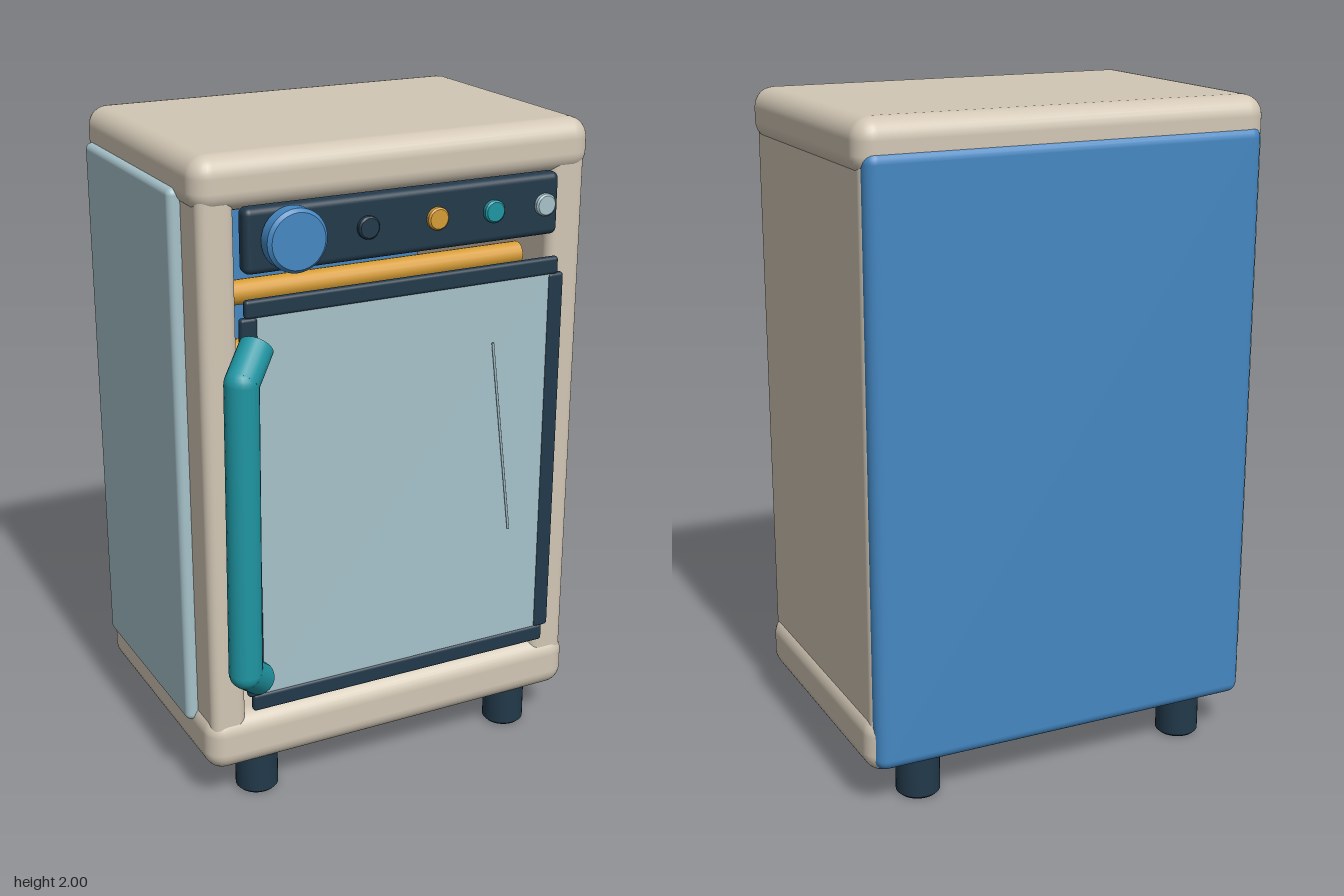
import * as THREE from 'three';
import { RoundedBoxGeometry } from 'three/addons/geometries/RoundedBoxGeometry.js';
import { toCreasedNormals } from 'three/addons/utils/BufferGeometryUtils.js';

const material = (name, color) => {
  const m = new THREE.MeshStandardMaterial({ color });
  m.name = name;
  return m;
};

export function createModel() {
  const cream = material('cream', 0xd2c7b5);
  const blue = material('blue', 0x4487c2);
  const navy = material('navy', 0x22394a);
  const glass = material('pale glass', 0xa6c2ca);
  const teal = material('teal', 0x1f96a3);
  const amber = material('amber', 0xd69c35);

  const model = new THREE.Group();
  model.name = 'cabinetOven';

  const add = (name, geometry, mat, parent = model) => {
    const mesh = new THREE.Mesh(geometry, mat);
    mesh.name = name;
    parent.add(mesh);
    return mesh;
  };
  const group = (name) => {
    const g = new THREE.Group();
    g.name = name;
    model.add(g);
    return g;
  };

  // Rounded box given by its lower and upper limits
  const block = (name, [x0, x1], [y0, y1], [z0, z1], radius, mat, parent) => {
    const w = x1 - x0, h = y1 - y0, d = z1 - z0;
    const r = Math.min(radius, Math.min(w, h, d) * 0.49);
    const mesh = add(name, new RoundedBoxGeometry(w, h, d, 4, r), mat, parent);
    mesh.position.set((x0 + x1) / 2, (y0 + y1) / 2, (z0 + z1) / 2);
    return mesh;
  };

  // Disc with bevelled rims, standing along y
  const disc = (r, h, bevel) => {
    const profile = [[0, 0], [r - bevel, 0], [r, bevel], [r, h - bevel], [r - bevel, h], [0, h]]
      .map(([x, y]) => new THREE.Vector2(x, y));
    return toCreasedNormals(new THREE.LatheGeometry(profile, 32), 0.6);
  };

  // Straight rod between two points
  const rod = (name, a, b, r, mat, parent, sides = 16) => {
    const dir = b.clone().sub(a);
    const mesh = add(name, new THREE.CylinderGeometry(r, r, dir.length(), sides), mat, parent);
    mesh.position.copy(a).add(b).multiplyScalar(0.5);
    mesh.quaternion.setFromUnitVectors(new THREE.Vector3(0, 1, 0), dir.normalize());
    return mesh;
  };

  // Case: top and bottom slabs, two walls, back and side panels
  block('topSlab', [-0.625, 0.64], [1.84, 2.0], [-0.535, 0.345], 0.06, cream);
  block('bottomSlab', [-0.625, 0.64], [0.12, 0.3], [-0.535, 0.345], 0.06, cream);
  block('rightWall', [-0.61, -0.5], [0.2, 1.94], [-0.52, 0.335], 0.03, cream);
  block('leftWall', [0.505, 0.625], [0.2, 1.94], [-0.52, 0.335], 0.03, cream);
  block('backPanel', [-0.605, 0.62], [0.135, 1.915], [-0.545, -0.46], 0.035, blue);
  block('sidePanel', [-0.645, -0.595], [0.245, 1.895], [-0.48, 0.21], 0.02, glass);

  // Feet
  for (const x of [-0.44, 0.455]) {
    for (const z of [0.255, -0.44]) {
      add('foot', disc(0.066, 0.15, 0.008), navy).position.set(x, 0, z);
    }
  }

  // Control panel with knob and buttons
  const controls = group('controls');
  block('controlPanel', [-0.495, 0.505], [1.675, 1.86], [0.325, 0.38], 0.02, navy, controls);
  const dial = (name, x, r, z0, z1, bevel, mat) => {
    const mesh = add(name, disc(r, z1 - z0, bevel), mat, controls);
    mesh.rotation.x = Math.PI / 2;
    mesh.position.set(x, 1.77, z0);
  };
  dial('knob', -0.36, 0.09, 0.375, 0.435, 0.01, blue);
  [[-0.125, navy], [0.095, amber], [0.28, teal], [0.453, glass]].forEach(([x, mat]) =>
    dial('button', x, 0.033, 0.365, 0.396, 0.005, mat));

  // Door: framed glass standing just in front of the case
  const door = group('door');
  const depth = [0.362, 0.386];
  block('doorFrameRight', [-0.515, -0.463], [0.385, 1.558], depth, 0.01, navy, door);
  block('doorFrameLeft', [0.478, 0.53], [0.385, 1.558], depth, 0.01, navy, door);
  block('doorFrameTop', [-0.5, 0.51], [1.555, 1.608], depth, 0.01, navy, door);
  block('doorFrameBottom', [-0.5, 0.51], [0.335, 0.39], depth, 0.01, navy, door);
  block('doorGlass', [-0.47, 0.485], [0.38, 1.565], [0.367, 0.381], 0.003, glass, door);
  rod('glassGlint', new THREE.Vector3(0.285, 1.375, 0.394), new THREE.Vector3(0.362, 0.76, 0.394),
    0.004, glass, door, 8);

  // Handle: one bent bar
  const handle = group('handle');
  const bends = [[-0.49, 1.492, 0.432], [-0.564, 1.418, 0.497], [-0.574, 0.548, 0.502], [-0.51, 0.485, 0.447]]
    .map((p) => new THREE.Vector3(...p));
  for (let i = 0; i < 3; i++) rod('handleBar', bends[i], bends[i + 1], 0.049, teal, handle, 20);
  for (const p of bends.slice(1, 3)) {
    add('handleBend', new THREE.SphereGeometry(0.049, 20, 14), teal, handle).position.copy(p);
  }

  // Rack of bars inside
  const rack = group('rack');
  for (let i = 0; i < 8; i++) {
    const y = 0.36 + i * 0.174;
    rod('rackBar', new THREE.Vector3(-0.48, y, 0.2), new THREE.Vector3(0.48, y, 0.2), 0.036, amber, rack);
  }

  return model;
}
